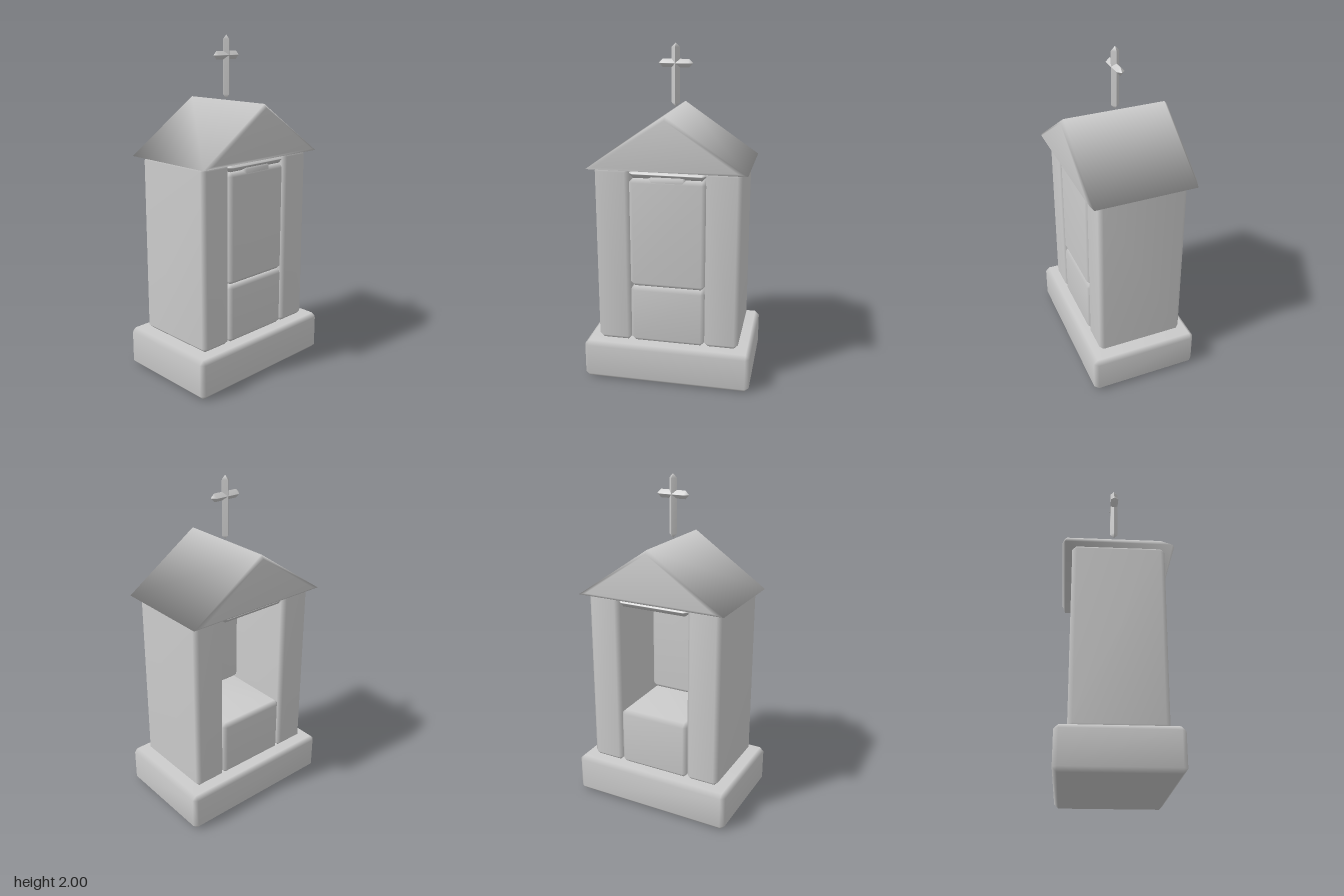
import * as THREE from 'three';
import { ConvexGeometry } from 'three/addons/geometries/ConvexGeometry.js';
import { mergeVertices } from 'three/addons/utils/BufferGeometryUtils.js';

const material = new THREE.MeshStandardMaterial({ color: 0xcccccc });

// Convex solid with shared vertices, so shading runs smoothly over the bevels
function smoothHull(points) {
  const hull = new ConvexGeometry(points);
  hull.deleteAttribute('normal');
  const geometry = mergeVertices(hull, 1e-4);
  geometry.computeVertexNormals();
  return geometry;
}

// Box between two values on each axis, with every edge chamfered by b
function bevelBox([x0, x1], [y0, y1], [z0, z1], b = 0.025) {
  const half = [(x1 - x0) / 2, (y1 - y0) / 2, (z1 - z0) / 2];
  const points = [];
  for (const sx of [-1, 1]) for (const sy of [-1, 1]) for (const sz of [-1, 1]) {
    for (let axis = 0; axis < 3; axis++) {
      const h = half.map((v, i) => (i === axis ? v : v - b));
      points.push(new THREE.Vector3(sx * h[0], sy * h[1], sz * h[2]));
    }
  }
  return smoothHull(points).translate((x0 + x1) / 2, (y0 + y1) / 2, (z0 + z1) / 2);
}

// Triangular prism whose gable ends are inset by a bevel
function gableRoof(halfWidth, y0, y1, halfDepth, b) {
  const slope = Math.atan2(y1 - y0, halfWidth);
  const inW = halfWidth - b / Math.tan(slope / 2);
  const inTop = y1 - b / Math.cos(slope);
  const points = [];
  for (const s of [-1, 1]) {
    const zo = s * (halfDepth - b), zi = s * halfDepth;
    points.push(
      new THREE.Vector3(-halfWidth, y0, zo), new THREE.Vector3(halfWidth, y0, zo), new THREE.Vector3(0, y1, zo),
      new THREE.Vector3(-inW, y0 + b, zi), new THREE.Vector3(inW, y0 + b, zi), new THREE.Vector3(0, inTop, zi));
  }
  return smoothHull(points);
}

export function createModel() {
  const model = new THREE.Group();
  model.name = 'shrine';
  const add = (name, geometry, parent = model) => {
    const mesh = new THREE.Mesh(geometry, material);
    mesh.name = name;
    parent.add(mesh);
  };
  const depth = [-0.265, 0.265];

  // Plinth and the two side walls
  add('base', bevelBox([-0.505, 0.505], [0, 0.24], [-0.333, 0.333]));
  add('leftWall', bevelBox([0.222, 0.427], [0.24, 1.32], depth));
  add('rightWall', bevelBox([-0.427, -0.222], [0.24, 1.32], depth));

  // Niche, open to the back
  add('nicheFloor', bevelBox([-0.225, 0.225], [0.24, 0.6], depth));
  add('frontPanel', bevelBox([-0.225, 0.225], [0.6, 1.262], [0.13, 0.265]));
  add('ceiling', bevelBox([-0.225, 0.225], [1.262, 1.315], depth));
  add('ceilingBlock', bevelBox([-0.11, 0.11], [1.2, 1.285], [-0.04, 0.26], 0.02));

  // Roof
  add('roof', gableRoof(0.462, 1.315, 1.63, 0.322, 0.018));

  // Cross with nearly diamond-shaped bars
  const cross = new THREE.Group();
  cross.name = 'cross';
  model.add(cross);
  add('crossUpright', bevelBox([-0.024, 0.024], [1.64, 2], [-0.024, 0.024], 0.023), cross);
  add('crossArm', bevelBox([-0.1, 0.1], [1.863, 1.911], [-0.024, 0.024], 0.023), cross);

  return model;
}
